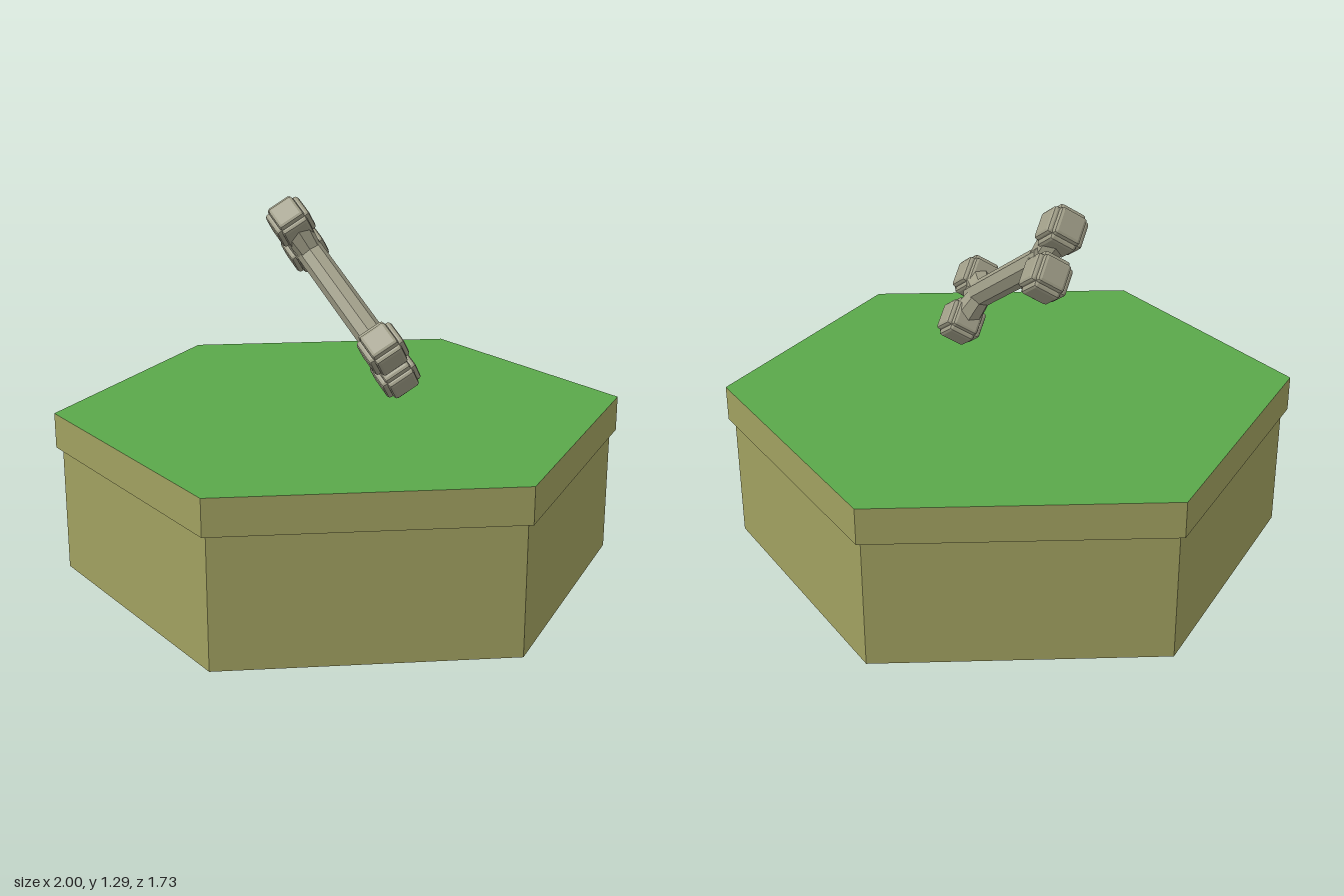
import * as THREE from 'three';
import { RoundedBoxGeometry } from 'three/addons/geometries/RoundedBoxGeometry.js';

const material = (color, side = THREE.FrontSide) =>
  new THREE.MeshStandardMaterial({ color, side, flatShading: true });

const earth = material(0xa0a060, THREE.DoubleSide);
const grass = material(0x5aa84a, THREE.DoubleSide);
const boneMat = material(0xa09e88);

function add(parent, name, geometry, mat) {
  const mesh = new THREE.Mesh(geometry, mat);
  mesh.name = name;
  parent.add(mesh);
  return mesh;
}

// open six-sided wall with corners on the x axis
function hexWall(radius, bottom, top) {
  return new THREE.CylinderGeometry(radius, radius, top - bottom, 6, 1, true, Math.PI / 6)
    .translate(0, (bottom + top) / 2, 0);
}

// tapered rod between two points
function rod(from, to, r0, r1, sides) {
  const dir = to.clone().sub(from);
  const g = new THREE.CylinderGeometry(r1, r0, dir.length(), sides, 1);
  g.applyQuaternion(new THREE.Quaternion().setFromUnitVectors(
    new THREE.Vector3(0, 1, 0), dir.clone().normalize()));
  const mid = from.clone().add(to).multiplyScalar(0.5);
  return g.translate(mid.x, mid.y, mid.z);
}

// knuckle: three crossed, chamfered blocks
function makeKnob() {
  const knob = new THREE.Group();
  knob.name = 'boneKnob';
  const long = 0.136, short = 0.1;
  for (let i = 0; i < 3; i++) {
    const size = [short, short, short];
    size[i] = long;
    add(knob, 'knobBlock', new RoundedBoxGeometry(...size, 1, 0.012), boneMat);
  }
  return knob;
}

// bone along local x, knobs spread along local y
function makeBone() {
  const bone = new THREE.Group();
  bone.name = 'bone';
  const v = (x, y) => new THREE.Vector3(x, y, 0);
  add(bone, 'boneShaft', rod(v(-0.27, 0), v(0.27, 0), 0.049, 0.049, 8), boneMat);
  for (const end of [-1, 1]) {
    for (const side of [-1, 1]) {
      add(bone, 'boneBranch', rod(v(end * 0.225, side * 0.008), v(end * 0.31, side * 0.08), 0.044, 0.058, 8), boneMat);
      const knob = makeKnob();
      knob.position.set(end * 0.32, side * 0.088, 0);
      bone.add(knob);
    }
  }
  return bone;
}

export function createModel() {
  const model = new THREE.Group();
  model.name = 'hexTileWithBone';

  // hollow hexagonal base with a slightly wider rim
  add(model, 'baseWall', hexWall(0.977, 0, 0.45), earth);
  add(model, 'rimWall', hexWall(1, 0.45, 0.575), earth);
  add(model, 'rimLip', new THREE.RingGeometry(0.977, 1, 6, 1)
    .rotateX(Math.PI / 2).translate(0, 0.45, 0), earth);
  add(model, 'grassTop', new THREE.CircleGeometry(1, 6)
    .rotateX(-Math.PI / 2).translate(0, 0.575, 0), grass);

  // floating bone: rolled about its own axis, then tilted
  const bone = makeBone();
  bone.rotation.set(0.67, 0, -0.565, 'ZYX');
  bone.position.set(0, 0.97, -0.004);
  model.add(bone);
  return model;
}
